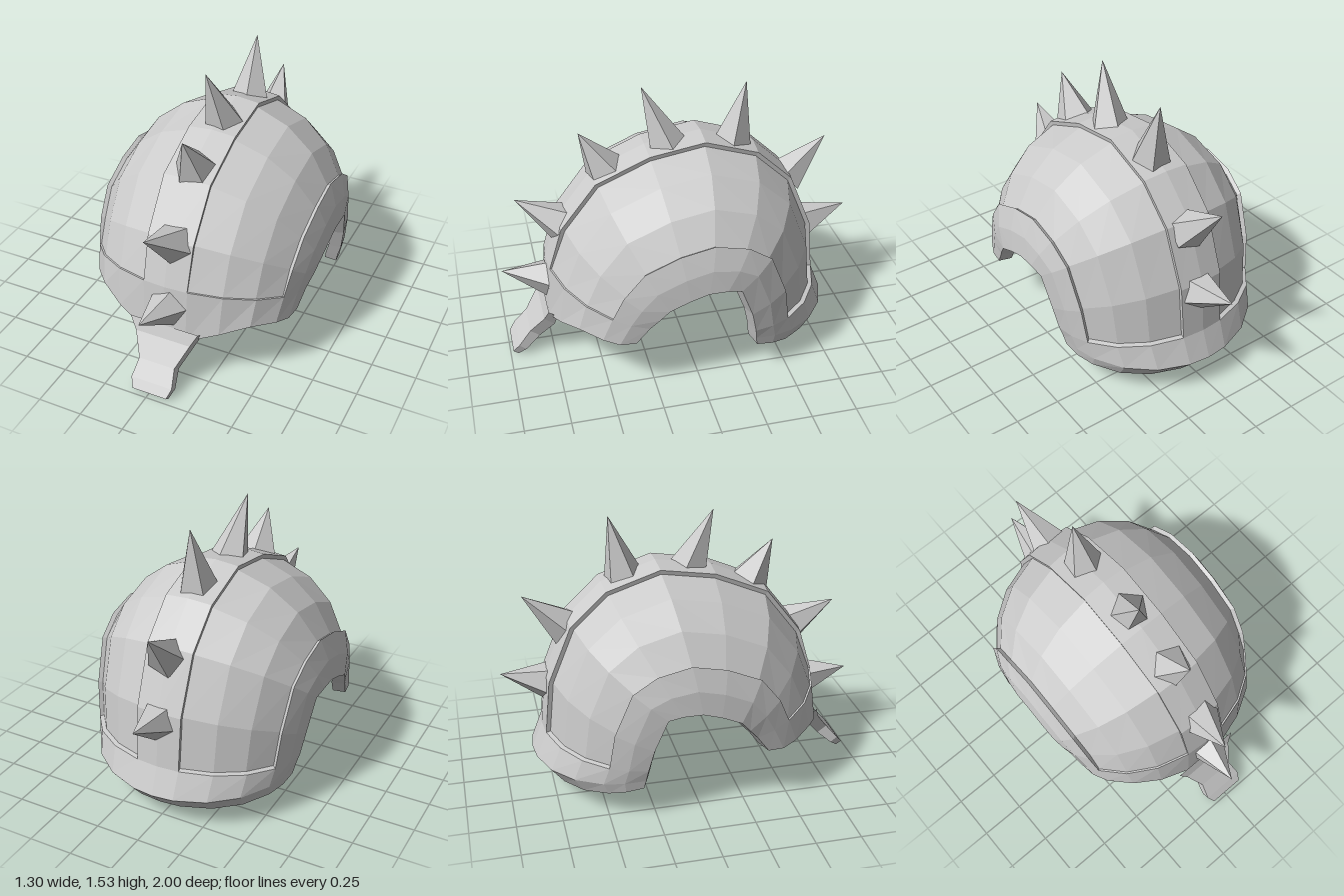
import * as THREE from 'three';

const material = new THREE.MeshStandardMaterial({ color: 0xcccccc, flatShading: true });

// Ribs from brow to nape: crown y, z, then rim x, y, z
const ribs = [
  [0.25, 0.78, 0.59, 0.35, 0.36],
  [0.58, 0.755, 0.61, 0.45, 0.29],
  [0.83, 0.68, 0.63, 0.51, 0.24],
  [1.09, 0.48, 0.645, 0.57, 0.19],
  [1.22, 0.18, 0.65, 0.62, 0.08],
  [1.27, -0.13, 0.65, 0.65, -0.02],
  [1.17, -0.43, 0.65, 0.65, -0.12],
  [0.98, -0.63, 0.64, 0.63, -0.2],
  [0.66, -0.76, 0.62, 0.45, -0.27],
  [0.35, -0.79, 0.6, 0.32, -0.3],
  [0.2, -0.85, 0.58, 0.25, -0.31],
  [0.11, -0.77, 0.57, 0.2, -0.32],
];
const half = [12, 30, 48, 66, 78, 90];
const angles = [...half.map((a) => -a).reverse(), 0, ...half];
const THICKNESS = 0.075;
const INSET = 0.025;

// Point on a rib: a quarter ellipse from crown to rim, pushed in by depth
function shellPoint(i, j, depth) {
  const [cy, cz, rx, ry, rz] = ribs[j];
  const t = THREE.MathUtils.degToRad(angles[i]);
  const c = Math.cos(t);
  const arch = j === 0 ? 0.1 * Math.sin(2 * t) ** 2 : 0;
  const p = new THREE.Vector3(rx * Math.sin(t), ry + (cy - ry) * c + arch, rz + (cz - rz) * c);
  const inward = new THREE.Vector3(0, 0.5, 0).sub(p).normalize();
  return p.addScaledVector(inward, depth);
}

function meshFromQuads(name, quads) {
  const pts = quads.flatMap(([a, b, c, d]) => [a, b, c, a, c, d]);
  const geometry = new THREE.BufferGeometry().setFromPoints(pts);
  geometry.computeVertexNormals();
  const mesh = new THREE.Mesh(geometry, material);
  mesh.name = name;
  return mesh;
}

// Thick shell; side panels are sunk between the crest band and the rim trim
function makeShell() {
  const cols = angles.length - 1, rows = ribs.length - 1;
  const exists = (i, j) => i >= 0 && j >= 0 && i < cols && j < rows;
  const sunk = (i, j) => {
    const mid = Math.abs(angles[i] + angles[i + 1]) / 2;
    return j >= 1 && j < 9 && mid > 12 && mid < 66;
  };
  const depthAt = (j) => (j === 1 ? 0.01 : INSET);
  const quads = [];
  for (let i = 0; i < cols; i++) {
    for (let j = 0; j < rows; j++) {
      const corners = [[i, j], [i + 1, j], [i + 1, j + 1], [i, j + 1]];
      const neighbours = [[i, j - 1], [i + 1, j], [i, j + 1], [i - 1, j]];
      const low = sunk(i, j);
      const outer = corners.map(([u, v]) => shellPoint(u, v, low ? depthAt(v) : 0));
      const inner = corners.map(([u, v]) => shellPoint(u, v, THICKNESS));
      quads.push(outer, [...inner].reverse());
      neighbours.forEach(([u, v], k) => {
        const n = (k + 1) % 4;
        if (!exists(u, v)) {
          quads.push([inner[k], inner[n], outer[n], outer[k]]);
        } else if (!low && sunk(u, v)) {
          const [a, b] = [corners[k], corners[n]].map(([s, r]) => shellPoint(s, r, depthAt(r)));
          quads.push([a, b, outer[n], outer[k]]);
        }
      });
    }
  }
  return meshFromQuads('helmetShell', quads);
}

// Nose guard: rectangular sections y, z, half width, thickness
function makeNoseGuard() {
  const rings = [
    [0.34, 0.775, 0.2, 0.06],
    [0.27, 0.8, 0.16, 0.07],
    [0.16, 0.88, 0.105, 0.065],
    [0.08, 0.95, 0.12, 0.05],
    [0.035, 0.985, 0.1, 0.035],
  ].map(([y, z, w, t], k) => {
    const cx = k * 0.003;
    const by = y - 0.6 * t, bz = z - 0.8 * t;
    return [[-w, y, z], [w, y, z], [w, by, bz], [-w, by, bz]]
      .map(([px, py, pz]) => new THREE.Vector3(px + cx, py, pz));
  });
  const quads = [];
  for (let r = 0; r < rings.length - 1; r++) {
    for (let k = 0; k < 4; k++) {
      const n = (k + 1) % 4;
      quads.push([rings[r + 1][k], rings[r + 1][n], rings[r][n], rings[r][k]]);
    }
  }
  const end = rings[rings.length - 1];
  quads.push([end[3], end[2], end[1], end[0]]);
  return meshFromQuads('noseGuard', quads);
}

// Five-sided spike standing on a base point and aimed at its tip
function makeSpike(base, tip, index) {
  const axis = tip.clone().sub(base);
  const length = axis.length() + 0.03;
  axis.normalize();
  const geometry = new THREE.ConeGeometry(0.112, length, 5, 1);
  geometry.rotateY(index * 0.9 + 0.3);
  const mesh = new THREE.Mesh(geometry, material);
  mesh.quaternion.setFromUnitVectors(new THREE.Vector3(0, 1, 0), axis);
  mesh.position.copy(tip).addScaledVector(axis, -length / 2);
  mesh.name = 'spike' + (index + 1);
  return mesh;
}

export function createModel() {
  const group = new THREE.Group();
  group.name = 'spikedHelmet';
  group.add(makeShell(), makeNoseGuard());

  // Spikes along the crest: base y, z, then tip x, y, z
  const spikes = [
    [0.46, 0.77, -0.02, 0.505, 1.0],
    [0.82, 0.68, -0.03, 0.95, 0.895],
    [1.13, 0.42, 0.01, 1.33, 0.535],
    [1.23, 0.07, -0.03, 1.54, 0.185],
    [1.21, -0.31, 0.01, 1.53, -0.38],
    [0.94, -0.645, -0.02, 1.13, -0.86],
    [0.61, -0.765, 0, 0.675, -1.0],
  ];
  spikes.forEach(([by, bz, tx, ty, tz], k) => {
    group.add(makeSpike(new THREE.Vector3(0.01, by, bz), new THREE.Vector3(tx, ty, tz), k));
  });
  return group;
}
